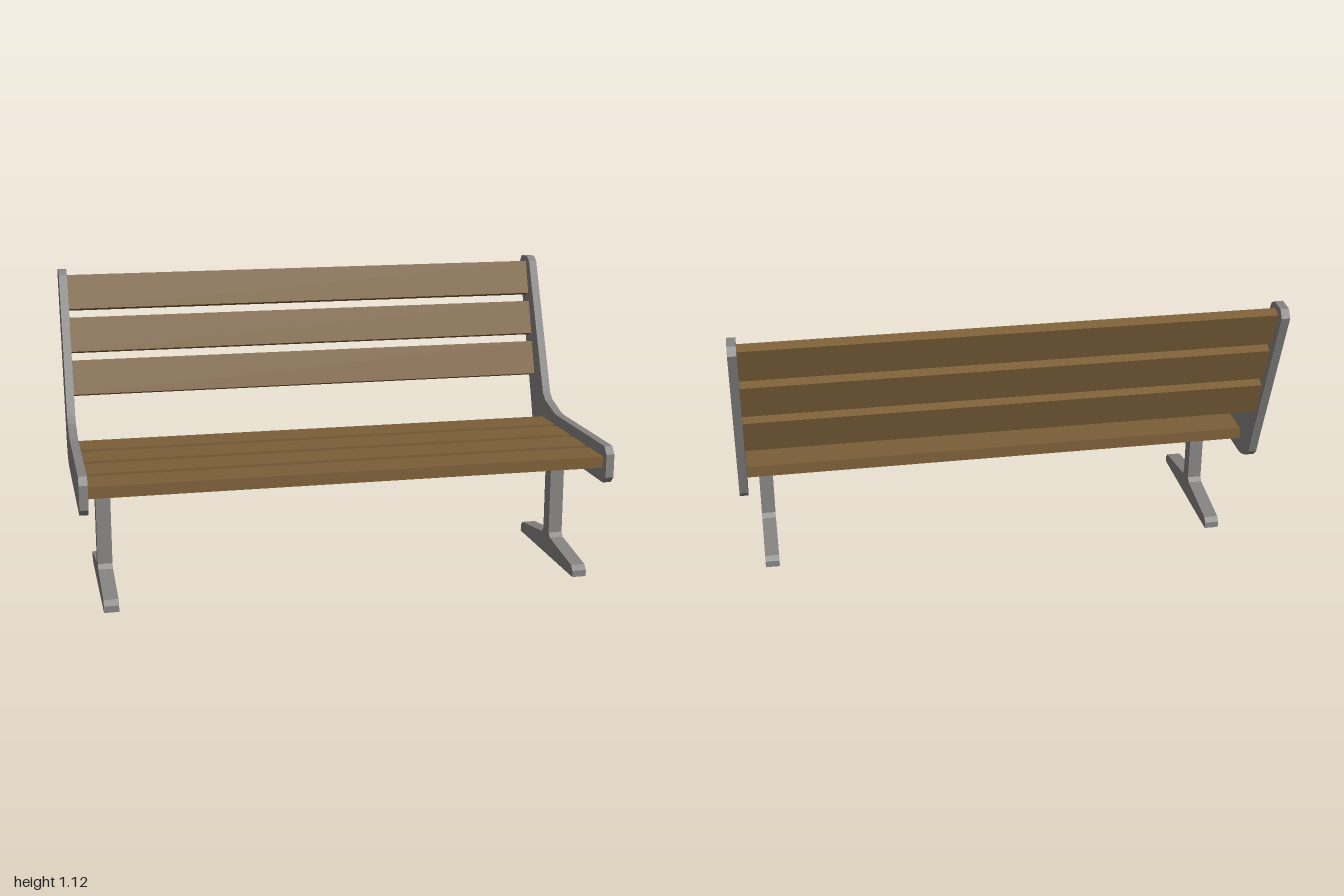
import * as THREE from 'three';

const wood = new THREE.MeshStandardMaterial({ color: 0x7a5e37 });
wood.name = 'wood';
const metal = new THREE.MeshStandardMaterial({ color: 0x838280 });
metal.name = 'greyMetal';

// Extrudes a [z, y] profile along x, centred on x = 0
function extrudeX(points, width) {
  const shape = new THREE.Shape(points.map(([z, y]) => new THREE.Vector2(z, y)));
  const geometry = new THREE.ExtrudeGeometry(shape, { depth: width, bevelEnabled: false });
  return geometry.translate(0, 0, -width / 2).rotateY(-Math.PI / 2);
}

export function createModel() {
  const bench = new THREE.Group();
  bench.name = 'bench';

  function add(name, geometry, material, x = 0, y = 0, z = 0) {
    const mesh = new THREE.Mesh(geometry, material);
    mesh.name = name;
    mesh.position.set(x, y, z);
    bench.add(mesh);
    return mesh;
  }

  // Side frame: seat rail sweeping up into the backrest post
  const frame = extrudeX([
    [0.515, 0.405], [0.515, 0.495], [0.49, 0.523], [-0.02, 0.523], [-0.05, 0.528],
    [-0.15, 0.557], [-0.18, 0.582], [-0.4, 1.105], [-0.43, 1.122], [-0.495, 1.117],
    [-0.515, 1.087], [-0.32, 0.525], [-0.29, 0.432], [-0.265, 0.407], [-0.225, 0.388],
    [-0.19, 0.38], [0.49, 0.38],
  ], 0.032);

  // Upright post with a spreading foot
  const leg = extrudeX([
    [0.468, 0], [0.468, 0.025], [0.45, 0.043], [0.215, 0.078], [0.2, 0.095], [0.2, 0.4],
    [0.14, 0.4], [0.14, 0.095], [0.125, 0.078], [-0.11, 0.043], [-0.125, 0.025], [-0.125, 0],
  ], 0.055);

  for (const [side, sign] of [['left', 1], ['right', -1]]) {
    add(side + 'Frame', frame, metal, sign * 0.984);
    add(side + 'Leg', leg, metal, sign * 0.897);
  }

  // Cross beam under the seat, with chamfered lower edges
  add('crossBeam', extrudeX([
    [0.22, 0.428], [0.22, 0.408], [0.2, 0.388], [0.14, 0.388], [0.12, 0.408], [0.12, 0.428],
  ], 1.94), metal);

  // Seat slats
  const seatSlat = new THREE.BoxGeometry(1.94, 0.044, 0.138);
  for (let i = 0; i < 4; i++) {
    add('seatSlat' + (i + 1), seatSlat, wood, 0, 0.458, 0.413 - i * 0.174);
  }

  // Leaning backrest slats
  const backSlat = new THREE.BoxGeometry(1.94, 0.138, 0.042);
  for (let i = 0; i < 3; i++) {
    const slat = add('backSlat' + (i + 1), backSlat, wood, 0, 1.028 - i * 0.164, -0.438 + i * 0.053);
    slat.rotation.x = -0.322;
  }

  return bench;
}
